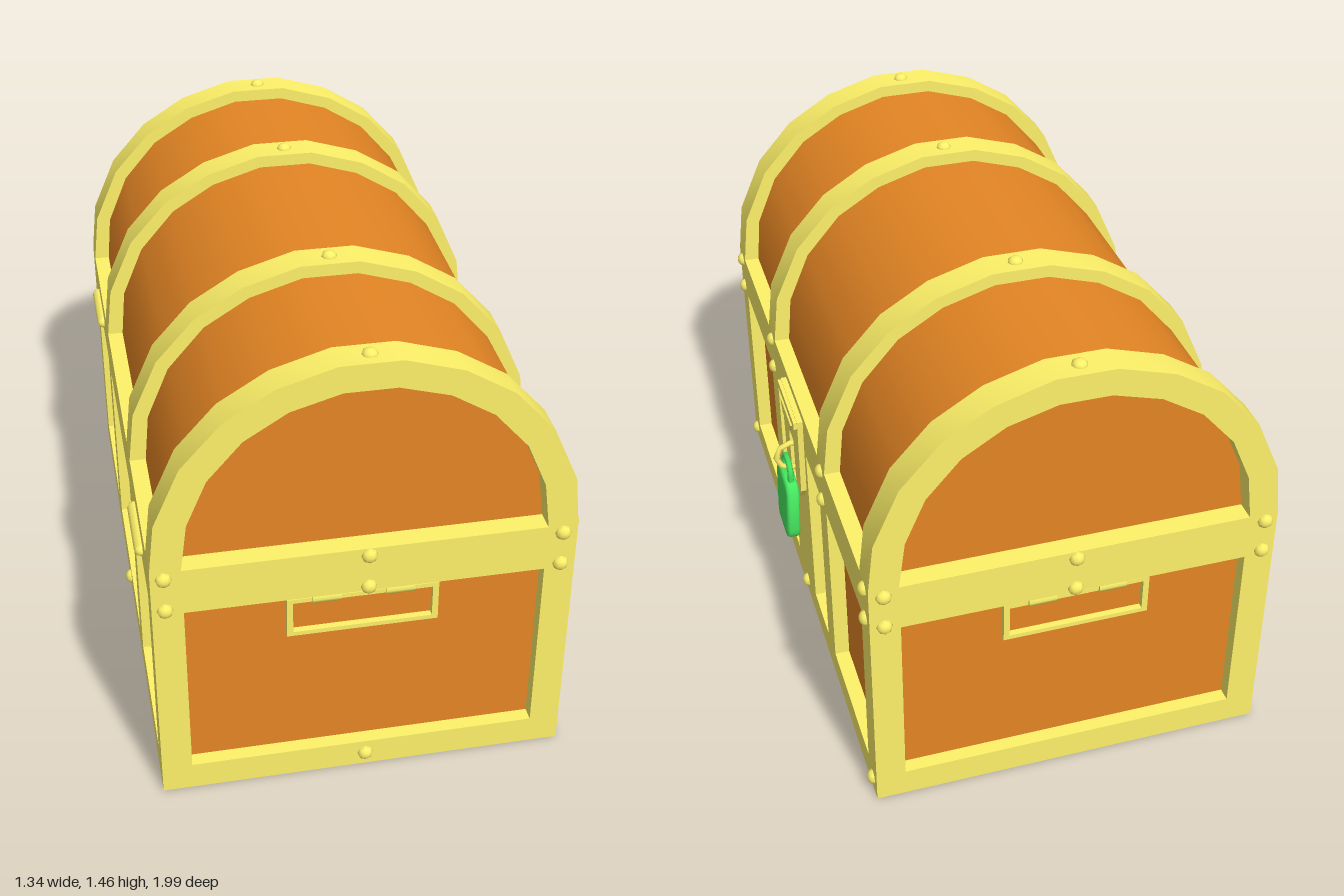
import * as THREE from 'three';
import { toCreasedNormals } from 'three/addons/utils/BufferGeometryUtils.js';

const gold = new THREE.MeshStandardMaterial({ color: 0xfff269 });
const wood = new THREE.MeshStandardMaterial({ color: 0xe58624 });
const green = new THREE.MeshStandardMaterial({ color: 0x46e860 });

const CX = -0.03; // chest centre in x (the lock sticks out on +x)
const HX = 0.613, HZ = 0.978; // half width and half length
const bandZ = [0.928, 0.378, -0.378, -0.928];

// Half profiles of the lid, from the spring line to the crown
const outer = [[0.613, 0.83], [0.595, 0.99], [0.517, 1.167], [0.4, 1.298], [0.256, 1.387], [0.088, 1.438]];
const inner = [[0.525, 0.83], [0.505, 0.98], [0.445, 1.12], [0.345, 1.235], [0.22, 1.313], [0.075, 1.355]];
const barrel = [[0.567, 0.8], [0.55, 0.98], [0.483, 1.14], [0.373, 1.268], [0.238, 1.352], [0.082, 1.4]];

const points = (list) => list.map(([x, y]) => new THREE.Vector2(x, y));
const mirrored = (half) => points([...half, ...half.slice().reverse().map(([x, y]) => [-x, y])]);

function extrude(shape, depth, bevel = 0) {
  const g = new THREE.ExtrudeGeometry(shape, {
    depth: depth - 2 * bevel, bevelEnabled: bevel > 0, bevelSize: bevel,
    bevelThickness: bevel, bevelOffset: -bevel, bevelSegments: 3, curveSegments: 6,
  });
  return g.translate(0, 0, bevel - depth / 2);
}

export function createModel() {
  const root = new THREE.Group();
  root.name = 'treasureChest';

  const add = (name, geo, mat, x = 0, y = 0, z = 0, parent = root) => {
    const m = new THREE.Mesh(geo, mat);
    m.name = name;
    m.position.set(x, y, z);
    parent.add(m);
    return m;
  };
  const box = (name, mat, w, h, d, x, y, z, parent) =>
    add(name, new THREE.BoxGeometry(w, h, d), mat, x, y, z, parent);

  // Wooden body and barrel lid
  box('bodyPanels', wood, 1.134, 0.7, 1.87, CX, 0.38, 0);
  add('lidPanels', toCreasedNormals(extrude(new THREE.Shape(mirrored(barrel)), 1.83), 0.6), wood, CX);

  // Metal base, rim and posts
  box('baseTrim', gold, HX * 2, 0.09, HZ * 2, CX, 0.045, 0);
  box('rimTrim', gold, HX * 2, 0.15, HZ * 2, CX, 0.755, 0);
  for (const sz of [1, -1]) {
    for (const sx of [1, -1])
      box('cornerPost', gold, 0.09, 0.59, 0.1, CX + sx * (HX - 0.045), 0.385, sz * (HZ - 0.05));
    box('middlePost', gold, HX * 2, 0.59, 0.1, CX, 0.385, sz * 0.378);
  }
  box('lockPost', gold, 0.08, 0.59, 0.26, CX + HX - 0.04, 0.385, 0);

  // Arched lid bands, smooth around the curve
  const arch = new THREE.Shape(mirrored(outer));
  arch.holes.push(new THREE.Path(mirrored(inner)));
  const archGeo = toCreasedNormals(extrude(arch, 0.1), 0.6);
  for (const z of bandZ) add('lidBand', archGeo, gold, CX, 0, z);

  // Domed rivets, each pointing along an outward direction
  const rivetGeo = new THREE.SphereGeometry(0.024, 8, 3, 0, Math.PI * 2, 0, Math.PI / 2).scale(1, 0.8, 1);
  const up = new THREE.Vector3(0, 1, 0);
  const rivet = (x, y, z, nx, ny, nz) =>
    add('rivet', rivetGeo, gold, x, y, z).quaternion.setFromUnitVectors(up, new THREE.Vector3(nx, ny, nz));
  for (const z of bandZ) {
    rivet(-0.025, 1.436, z, 0, 1, 0);
    for (const y of [0.806, 0.696]) rivet(CX + HX, y, z, 1, 0, 0);
  }
  for (const z of [0.93, 0, -0.93]) rivet(CX + HX, 0.048, z, 1, 0, 0);
  rivet(CX - HX, 0.045, 0, -1, 0, 0);
  rivet(-0.025, 0.045, HZ, 0, 0, 1);
  for (const s of [1, -1])
    for (const x of [-0.605, -0.025, 0.54])
      for (const y of [0.806, 0.696]) rivet(x, y, s * HZ, 0, 0, s);

  // Rounded hinge barrels on the -x side
  for (const s of [1, -1])
    add('hinge', new THREE.CapsuleGeometry(0.019, 0.205, 3, 8).rotateX(Math.PI / 2), gold, CX - HX - 0.005, 0.748, s * 0.655);

  // Drop handles on both ends
  for (const s of [1, -1]) {
    const handle = new THREE.Group();
    handle.name = 'handle';
    handle.position.set(-0.037, 0, s * 0.955);
    root.add(handle);
    for (const y of [0.541, 0.66]) box('handleBar', gold, 0.445, 0.014, 0.02, 0, y, 0, handle);
    for (const sx of [1, -1]) {
      box('handleSide', gold, 0.018, 0.106, 0.02, sx * 0.2135, 0.601, 0, handle);
      add('handleMount', new THREE.CylinderGeometry(0.02, 0.02, 0.084, 8).rotateZ(Math.PI / 2), gold, sx * 0.107, 0.664, 0, handle);
    }
  }

  // Hasp plate with a slot, facing +x
  const hasp = new THREE.Shape(points([[-0.13, 0.815], [-0.115, 0.53], [-0.075, 0.48], [0.075, 0.48], [0.115, 0.53], [0.13, 0.815]]));
  hasp.holes.push(new THREE.Path(points([[-0.035, 0.49], [0.035, 0.49], [0.035, 0.68], [-0.035, 0.68]])));
  add('haspPlate', extrude(hasp, 0.018).rotateY(Math.PI / 2), gold, 0.595);
  box('haspHingeLeaf', gold, 0.03, 0.025, 0.25, 0.6, 0.8, 0);
  const tab = new THREE.Shape(points([[-0.085, 0.775], [-0.05, 0.73], [0.05, 0.73], [0.085, 0.775]]));
  add('haspTab', extrude(tab, 0.02, 0.005).rotateY(Math.PI / 2), gold, 0.608);

  // Staple ring through the slot
  add('staple', new THREE.TorusGeometry(0.05, 0.01, 6, 8), gold, 0.609, 0.595, 0);

  // Padlock hanging from the staple, slightly tilted
  const padlock = new THREE.Group();
  padlock.name = 'padlock';
  padlock.position.set(0.625, 0.527, 0);
  padlock.rotation.z = 0.035;
  root.add(padlock);
  const body = new THREE.Shape(points([[-0.065, 0], [-0.09, -0.03], [-0.085, -0.18]]));
  body.quadraticCurveTo(-0.083, -0.225, -0.045, -0.225);
  body.lineTo(0.045, -0.225);
  body.quadraticCurveTo(0.083, -0.225, 0.085, -0.18);
  body.lineTo(0.09, -0.03);
  body.lineTo(0.065, 0);
  add('padlockBody', toCreasedNormals(extrude(body, 0.044, 0.012).rotateY(Math.PI / 2), 0.9), green, 0, 0, 0, padlock);
  const loop = new THREE.CatmullRomCurve3([[0.048, -0.045], [0.04, 0.045], [-0.04, 0.045], [-0.048, -0.045]]
    .map(([z, y]) => new THREE.Vector3(0, y, z)));
  add('shackle', new THREE.TubeGeometry(loop, 16, 0.01, 6), green, 0, 0, 0, padlock);

  return root;
}
